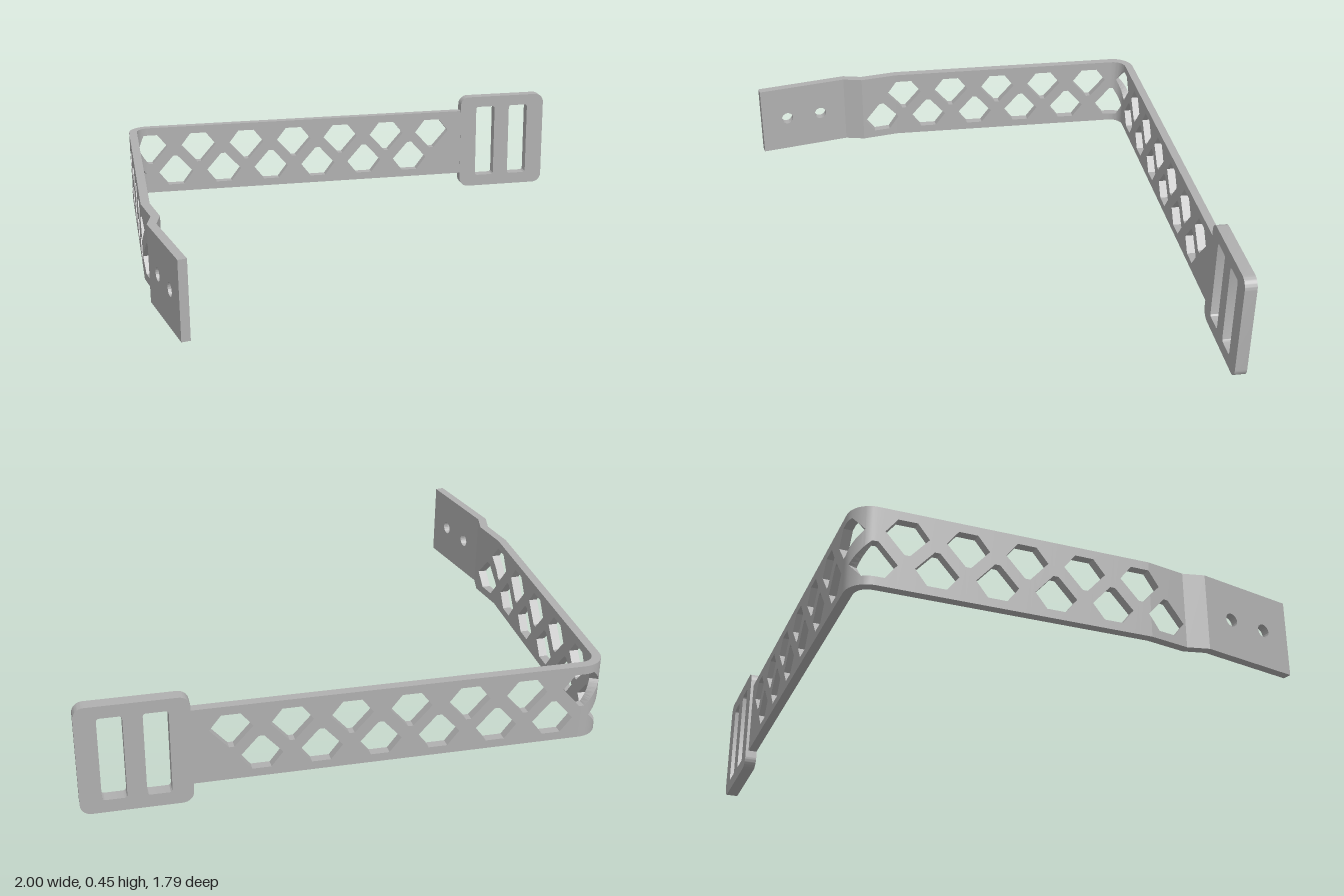
import * as THREE from 'three';
import { toCreasedNormals } from 'three/addons/utils/BufferGeometryUtils.js';

const Y0 = 0.07, Y1 = 0.382, HALF = 0.0175;

// Piecewise linear lookup in a list of [position, value] points.
function lerpAt(points, s) {
  let i = 1;
  while (i < points.length - 1 && points[i][0] < s) i++;
  const [a, va] = points[i - 1], [b, vb] = points[i];
  return va + (vb - va) * (s - a) / (b - a);
}

// Centreline of the strap seen from above, as [x, z].
function strapPath() {
  const path = [[0.6, -0.8685]];
  const r = 0.0725, steps = 10;
  for (let i = 0; i <= steps; i++) {
    const a = (i / steps) * Math.PI / 2;
    path.push([-0.91 - r * Math.sin(a), -0.796 - r * Math.cos(a)]);
  }
  path.push([-0.9825, 0.25], [-0.953, 0.41], [-0.972, 0.495], [-0.889, 0.888]);
  return path.map(([x, z]) => new THREE.Vector2(x, z));
}

// A hole is a lower and an upper outline running along the strap.
const hole = (s, lo, hi) => ({
  lo: lo.map(([d, y]) => [s + d, y]),
  hi: hi.map(([d, y]) => [s + d, y]),
});

function strapHoles(length) {
  const holes = [];
  // Two staggered rows of clipped diamonds
  for (let k = 0; k < 12; k++) {
    const s = k * 0.2247;
    holes.push(hole(s + 0.16,
      [[-0.081, 0.289], [-0.01, 0.209], [0.01, 0.209], [0.081, 0.289]],
      [[-0.081, 0.289], [-0.036, 0.347], [0.036, 0.347], [0.081, 0.289]]));
    holes.push(hole(s + 0.27,
      [[-0.081, 0.163], [-0.036, 0.104], [0.036, 0.104], [0.081, 0.163]],
      [[-0.081, 0.163], [-0.01, 0.243], [0.01, 0.243], [0.081, 0.163]]));
  }
  // Two round screw holes in the foot
  for (const back of [0.121, 0.281]) {
    const arc = (sign) => Array.from({ length: 11 }, (_, i) => {
      const a = Math.PI * i / 10;
      return [-0.027 * Math.cos(a), 0.226 + sign * 0.027 * Math.sin(a)];
    });
    holes.push(hole(length - back, arc(-1), arc(1)));
  }
  return holes;
}

function strapGeometry() {
  const path = strapPath();
  const dist = [0];
  for (let i = 1; i < path.length; i++) dist.push(dist[i - 1] + path[i].distanceTo(path[i - 1]));
  const length = dist[dist.length - 1];

  // Inner and outer faces, mitred where the strap bends
  const normal = (i) => {
    const d = path[i + 1].clone().sub(path[i]).normalize();
    return new THREE.Vector2(d.y, -d.x);
  };
  const side = (sign) => {
    const pts = path.map((p, i) => {
      const a = normal(Math.max(i - 1, 0)), b = normal(Math.min(i, path.length - 2));
      const m = a.clone().add(b).normalize();
      return p.clone().addScaledVector(m, sign * HALF / m.dot(a));
    });
    const xs = pts.map((p, i) => [dist[i], p.x]), zs = pts.map((p, i) => [dist[i], p.y]);
    return (s, y) => [lerpAt(xs, s), y, lerpAt(zs, s)];
  };
  const inner = side(1), outer = side(-1);

  const pos = [];
  const quad = (a, b, c, d) => pos.push(...a, ...b, ...c, ...a, ...c, ...d);

  // Slice the strap at every bend and hole corner, then fill the solid bands
  const holes = strapHoles(length);
  const cuts = [...dist, ...holes.flatMap((h) => [...h.lo, ...h.hi].map((p) => p[0]))]
    .sort((a, b) => a - b).filter((s, i, all) => i === 0 || s - all[i - 1] > 1e-5);

  for (let i = 1; i < cuts.length; i++) {
    const a = cuts[i - 1], b = cuts[i], mid = (a + b) / 2;
    const open = holes
      .filter((h) => h.lo[0][0] < mid && h.lo[h.lo.length - 1][0] > mid)
      .sort((p, q) => lerpAt(p.lo, mid) - lerpAt(q.lo, mid));
    const edges = [[Y0, Y0]];
    for (const h of open) {
      for (const line of [h.lo, h.hi]) edges.push([lerpAt(line, a), lerpAt(line, b)]);
    }
    edges.push([Y1, Y1]);
    for (let e = 0; e < edges.length; e += 2) {
      const [la, lb] = edges[e], [ha, hb] = edges[e + 1];
      quad(inner(b, lb), inner(a, la), inner(a, ha), inner(b, hb));
      quad(outer(a, la), outer(b, lb), outer(b, hb), outer(a, ha));
      quad(inner(a, ha), outer(a, ha), outer(b, hb), inner(b, hb));
      quad(inner(b, lb), outer(b, lb), outer(a, la), inner(a, la));
    }
  }
  // End caps
  quad(outer(length, Y0), inner(length, Y0), inner(length, Y1), outer(length, Y1));
  quad(inner(0, Y0), outer(0, Y0), outer(0, Y1), inner(0, Y1));

  const geo = new THREE.BufferGeometry();
  geo.setAttribute('position', new THREE.Float32BufferAttribute(pos, 3));
  return toCreasedNormals(geo, 0.18);
}

// Rounded rectangle outline, used for the buckle and its slots.
function roundedRect(target, x0, y0, x1, y1, r) {
  target.absarc(x1 - r, y0 + r, r, -Math.PI / 2, 0);
  target.absarc(x1 - r, y1 - r, r, 0, Math.PI / 2);
  target.absarc(x0 + r, y1 - r, r, Math.PI / 2, Math.PI);
  target.absarc(x0 + r, y0 + r, r, Math.PI, Math.PI * 1.5);
  target.closePath();
  return target;
}

function buckleGeometry() {
  const shape = roundedRect(new THREE.Shape(), 0.585, 0, 1, 0.448, 0.042);
  for (const x of [0.663, 0.827]) {
    shape.holes.push(roundedRect(new THREE.Path(), x, 0.053, x + 0.092, 0.398, 0.012));
  }
  const geo = new THREE.ExtrudeGeometry(shape, { depth: 0.048, bevelEnabled: false, curveSegments: 8 });
  geo.translate(0, 0, -0.898);
  return toCreasedNormals(geo, 0.5);
}

export function createModel() {
  const grey = new THREE.MeshStandardMaterial({ color: 0xb0b0b0 });
  grey.name = 'grey';
  const model = new THREE.Group();
  model.name = 'strapBracket';
  const add = (name, geometry) => {
    const mesh = new THREE.Mesh(geometry, grey);
    mesh.name = name;
    model.add(mesh);
  };
  add('bentStrap', strapGeometry());
  add('slottedBuckle', buckleGeometry());
  return model;
}
